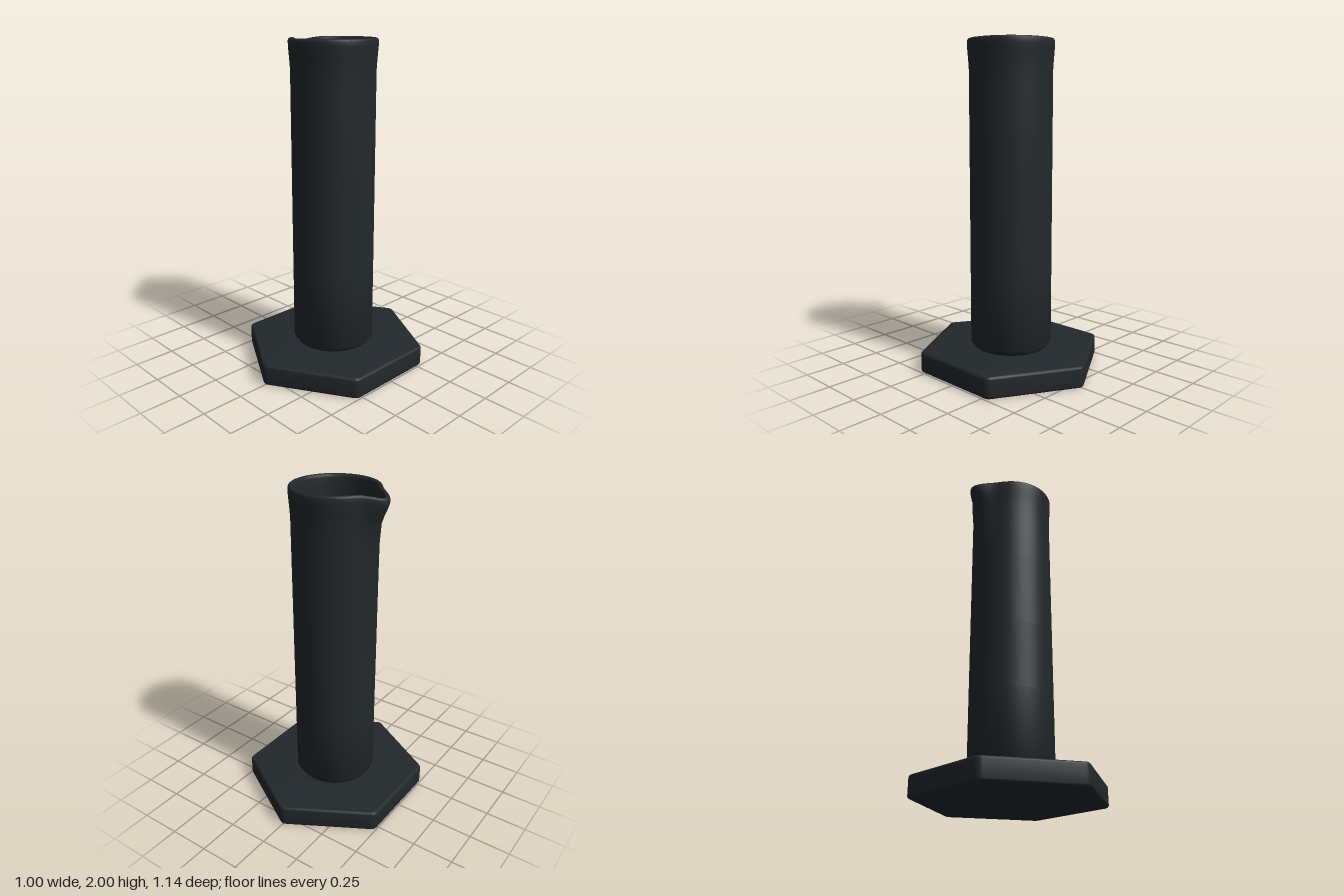
import * as THREE from 'three';
import { mergeVertices, toCreasedNormals } from 'three/addons/utils/BufferGeometryUtils.js';

const material = new THREE.MeshStandardMaterial({ color: 0x22282b });
const { lerp, smoothstep } = THREE.MathUtils;

// Hexagonal foot: corners on the z axis, softened corners and edges
function footGeometry() {
  const bevel = 0.016, height = 0.13, radius = 0.573 - bevel;
  const corner = (i) => {
    const a = Math.PI / 2 + (i * Math.PI) / 3;
    return new THREE.Vector2(Math.cos(a) * radius, Math.sin(a) * radius);
  };
  const shape = new THREE.Shape();
  for (let i = 0; i < 6; i++) {
    const c = corner(i);
    const from = c.clone().lerp(corner(i + 5), 0.03);
    const to = c.clone().lerp(corner(i + 1), 0.03);
    if (i === 0) shape.moveTo(from.x, from.y);
    else shape.lineTo(from.x, from.y);
    shape.quadraticCurveTo(c.x, c.y, to.x, to.y);
  }
  shape.closePath();
  const geo = new THREE.ExtrudeGeometry(shape, {
    depth: height - 2 * bevel, bevelEnabled: true, bevelSize: bevel,
    bevelThickness: bevel, bevelSegments: 4, curveSegments: 5,
  });
  geo.rotateX(-Math.PI / 2).translate(0, bevel, 0);
  return toCreasedNormals(geo, 0.5);
}

// How far the spout pushes the wall outwards at each height
function spoutReach(y) {
  if (y < 1.45) return 0;
  if (y < 1.82) return lerp(0, 0.04, (y - 1.45) / 0.37);
  return lerp(0.04, 0.081, Math.min(1, (y - 1.82) / 0.13));
}

// Hollow tube: outer wall, rolled rim and inner wall, with a spout drawn out at -x
function tubeGeometry() {
  const profile = [
    [0.225, 0.125], [0.232, 0.135], [0.25, 0.16], [0.25, 0.6], [0.25, 1.0], [0.25, 1.45],
    [0.25, 1.57], [0.25, 1.7], [0.25, 1.82], [0.253, 1.87], [0.257, 1.92], [0.26, 1.96],
    [0.26, 1.985], [0.257, 1.994], [0.251, 1.999], [0.244, 2.0], [0.236, 1.998],
    [0.23, 1.992], [0.228, 1.98], [0.226, 1.95], [0.224, 1.9], [0.222, 1.82],
    [0.222, 1.7], [0.222, 1.57], [0.222, 1.45], [0.222, 0.8], [0.222, 0.25],
    [0.21, 0.21], [0.18, 0.185], [0.1, 0.172], [0, 0.17],
  ].map(([r, y]) => new THREE.Vector2(r, y));
  let geo = new THREE.LatheGeometry(profile, 128);
  const pos = geo.attributes.position;
  for (let i = 0; i < pos.count; i++) {
    const x = pos.getX(i), y = pos.getY(i), z = pos.getZ(i);
    const r = Math.hypot(x, z);
    if (y < 1.45 || r < 0.01) continue;
    const angle = Math.atan2(z, -x);
    const bump = Math.exp(-0.5 * (angle / 0.2) ** 2);
    const k = 1 + (spoutReach(y) * bump) / r;
    // The lip dips slightly towards the spout tip
    const dip = 0.024 * bump * smoothstep(y, 1.85, 2);
    pos.setXYZ(i, x * k, y - dip, z * k);
  }
  geo.deleteAttribute('uv');
  geo.deleteAttribute('normal');
  geo = mergeVertices(geo, 1e-4);
  return toCreasedNormals(geo, 0.7);
}

export function createModel() {
  const model = new THREE.Group();
  model.name = 'measuringCylinder';
  const add = (name, geometry) => {
    const mesh = new THREE.Mesh(geometry, material);
    mesh.name = name;
    model.add(mesh);
  };
  add('hexagonalFoot', footGeometry());
  add('tubeWithSpout', tubeGeometry());
  return model;
}
